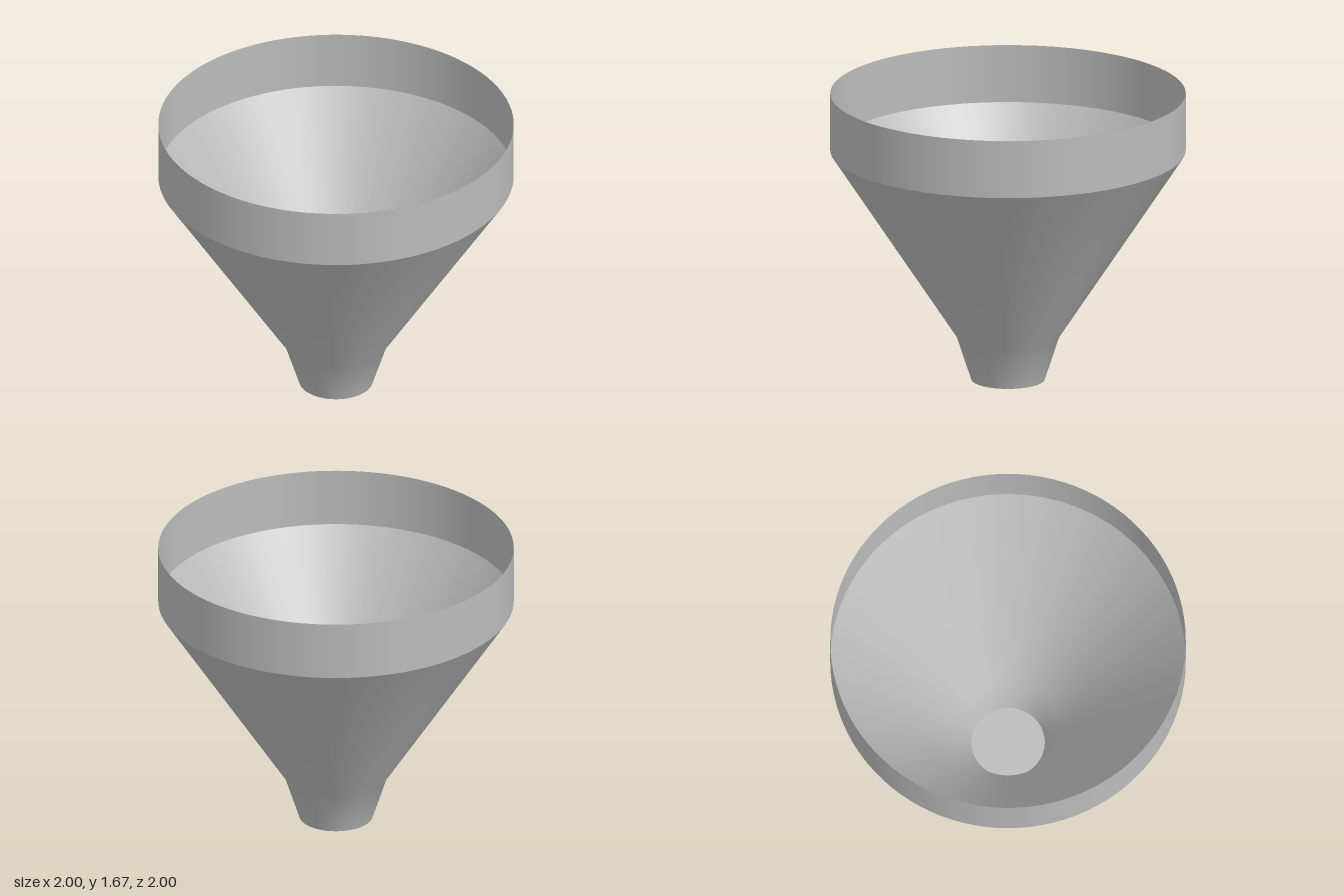
import * as THREE from 'three';

export function createModel() {
  const group = new THREE.Group();
  group.name = 'funnel';
  const greyMetal = new THREE.MeshStandardMaterial({ color: 0xbbbbbb, side: THREE.DoubleSide });
  greyMetal.name = 'greyMetal';

  const add = (name, geometry) => {
    const mesh = new THREE.Mesh(geometry, greyMetal);
    mesh.name = name;
    group.add(mesh);
    return mesh;
  };
  // Thin open shell turned from [radius, height] points
  const shell = (points) =>
    new THREE.LatheGeometry(points.map(([r, y]) => new THREE.Vector2(r, y)), 96);

  // Spout and cone share smooth normals; the collar meets them at a sharp edge
  add('spoutAndCone', shell([[0.207, 0], [0.29, 0.255], [1, 1.337]]));
  add('collar', shell([[1, 1.337], [1, 1.67]]));

  // Flat disc closing the spout, facing down
  add('spoutFloor', new THREE.CircleGeometry(0.207, 96).rotateX(Math.PI / 2));

  return group;
}
